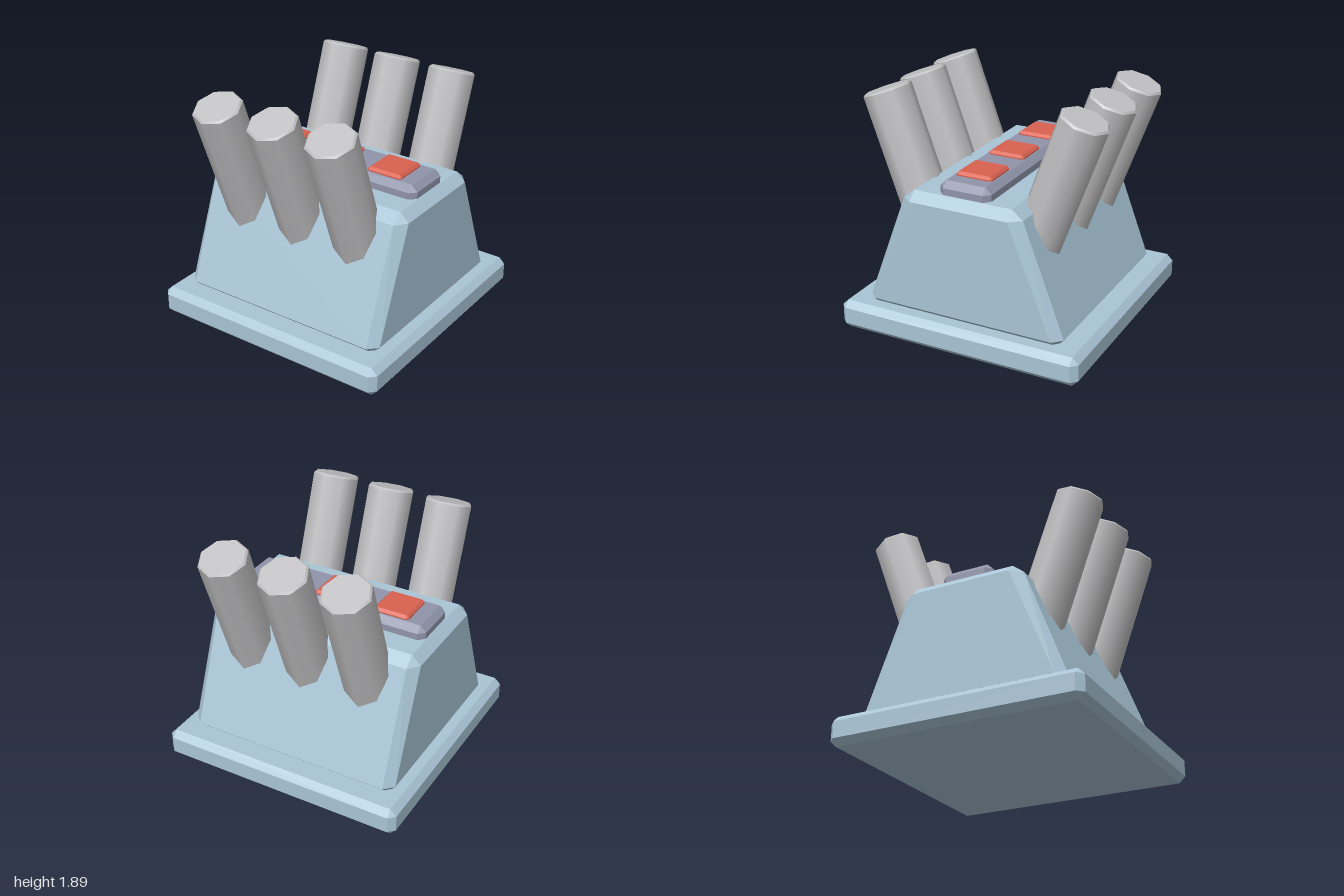
import * as THREE from 'three';
import { ConvexGeometry } from 'three/addons/geometries/ConvexGeometry.js';

// Every mirrored corner (±x, ±z) of a point
function corners(x, y, z) {
  const out = [];
  for (const sx of [-1, 1]) for (const sz of [-1, 1]) out.push(new THREE.Vector3(sx * x, y, sz * z));
  return out;
}

// Bevelled block: wx0/wx1 half widths at lower/upper shoulder, d half depth, c bevel
function block(wx0, wx1, d, y0, y1, c, cTopX = c) {
  return new ConvexGeometry([
    ...corners(wx0 - c, y0, d - c),
    ...corners(wx0, y0 + c, d - c), ...corners(wx0 - c, y0 + c, d),
    ...corners(wx1, y1 - c, d - c), ...corners(wx1 - cTopX, y1 - c, d),
    ...corners(wx1 - cTopX, y1, d - c),
  ]);
}

export function createModel() {
  const group = new THREE.Group();
  const mat = (name, color) => {
    const m = new THREE.MeshStandardMaterial({ color });
    m.name = name;
    return m;
  };
  const blue = mat('pale blue', 0xa9c5d6);
  const slate = mat('slate', 0x9195ab);
  const red = mat('red', 0xd9614f);
  const grey = mat('light grey', 0xc2c2c4);

  const add = (name, geometry, material, parent = group) => {
    const mesh = new THREE.Mesh(geometry, material);
    mesh.name = name;
    parent.add(mesh);
    return mesh;
  };

  // Square foot and tapered housing
  add('basePlate', block(1, 1, 1, 0, 0.23, 0.05), blue);
  add('housing', block(0.82, 0.49, 0.885, 0.19, 1.2, 0.072, 0.09), blue);

  // Raised strip on top with three buttons
  add('buttonPanel', block(0.21, 0.21, 0.805, 1.1, 1.3, 0.048), slate);
  const button = block(0.15, 0.15, 0.148, 1.25, 1.33, 0.02);

  // Eight-sided tubes leaning outwards, sunk into the housing
  const r = 0.19, len = 1.28, bevel = 0.015;
  const body = new THREE.CylinderGeometry(r, r, len, 8);
  body.translate(0, -len / 2, 0);
  const rim = new THREE.CylinderGeometry(r - bevel, r, bevel, 8);
  rim.translate(0, bevel / 2, 0);

  for (const z of [-0.5, 0, 0.5]) {
    add('button', button, red).position.z = z;
    for (const side of [-1, 1]) {
      const tube = new THREE.Group();
      tube.name = side > 0 ? 'leftTube' : 'rightTube';
      tube.position.set(side * 0.806, 1.82, z);
      tube.rotation.z = -side * THREE.MathUtils.degToRad(20);
      add('tubeBody', body, grey, tube);
      add('tubeRim', rim, grey, tube);
      group.add(tube);
    }
  }
  return group;
}
